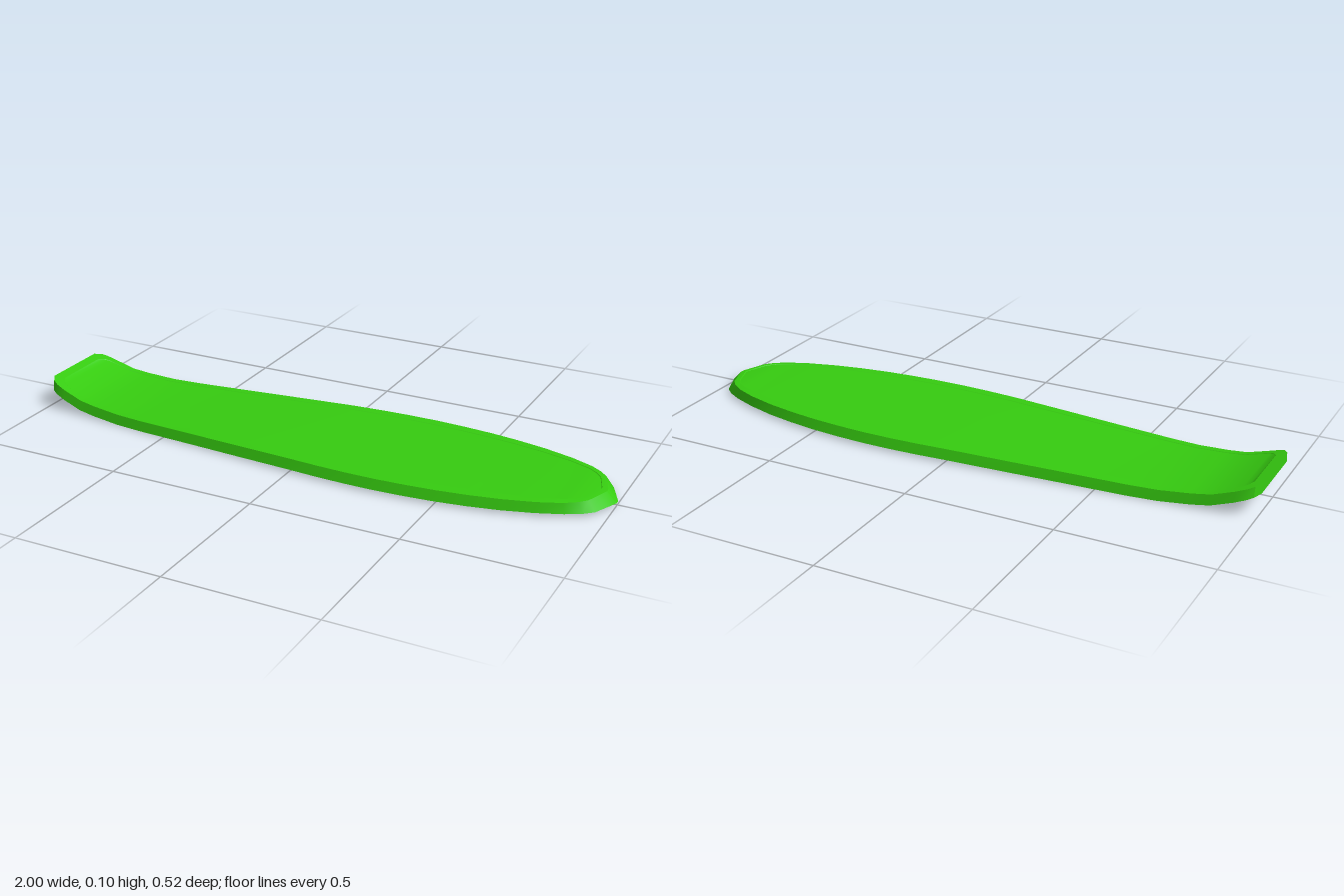
import * as THREE from 'three';
import { toCreasedNormals } from 'three/addons/utils/BufferGeometryUtils.js';

// Half width of the deck along its length: [x, half width]
const OUTLINE = [
  [-1, 0.125], [-0.985, 0.15], [-0.965, 0.161], [-0.93, 0.168], [-0.86, 0.175], [-0.8, 0.181],
  [-0.7, 0.19], [-0.6, 0.199], [-0.4, 0.216], [-0.2, 0.234], [0, 0.251], [0.1, 0.258], [0.2, 0.262],
  [0.3, 0.262], [0.4, 0.257], [0.5, 0.248], [0.6, 0.233], [0.7, 0.212], [0.8, 0.182], [0.88, 0.15],
  [0.93, 0.122], [0.96, 0.095], [0.98, 0.052], [1, 0.008],
];

// Underside height along the length: kicked tail, flat nose
const BOTTOM = [
  [-1, 0.07], [-0.95, 0.05], [-0.9, 0.032], [-0.86, 0.02], [-0.8, 0.012], [-0.7, 0.004],
  [-0.6, 0.003], [-0.2, 0.009], [0, 0.012], [0.4, 0.012], [1, 0.012],
];

function sample(table, x) {
  for (let i = 1; i < table.length; i++) {
    const [x0, y0] = table[i - 1], [x1, y1] = table[i];
    if (x <= x1) return y0 + (y1 - y0) * Math.max(0, (x - x0) / (x1 - x0));
  }
  return table[table.length - 1][1];
}

// Section rules: width factor, height above underside, pull back at nose and at tail
const SECTION = [
  { f: 1, h: 0, nose: 0, tail: 0 },              // lower edge
  { f: 0.955, h: 0.033, nose: 0.033, tail: 0 },  // upper edge
  { f: 0.81, h: 0.036, nose: 0.052, tail: 0.03 }, // rim crest
  { f: 0.8, h: 0.0345, nose: 0.054, tail: 0.032 }, // grip panel edge
];
const RING = [
  ...SECTION.map((s) => ({ ...s, side: 1 })),
  ...[...SECTION].reverse().map((s) => ({ ...s, side: -1 })),
];

function deckGeometry() {
  const pos = [], idx = [], n = RING.length;
  for (const [x, w] of OUTLINE) {
    for (const { f, h, nose, tail, side } of RING) {
      const px = x - nose * Math.max(0, (x - 0.85) / 0.15) + tail * Math.max(0, (-0.9 - x) / 0.1);
      pos.push(px, sample(BOTTOM, px) + h, side * w * f);
    }
  }
  const last = (OUTLINE.length - 1) * n;
  for (let i = 0; i < last; i += n) {
    for (let k = 0; k < n; k++) {
      const a = i + k, b = i + ((k + 1) % n);
      idx.push(a, a + n, b + n, a, b + n, b);
    }
  }
  // End strips, joined across the width
  for (let k = 0; k < n / 2 - 1; k++) {
    const a = k, b = k + 1, c = n - 2 - k, d = n - 1 - k;
    idx.push(a, b, c, a, c, d);
    idx.push(last + a, last + c, last + b, last + a, last + d, last + c);
  }
  const geo = new THREE.BufferGeometry();
  geo.setAttribute('position', new THREE.Float32BufferAttribute(pos, 3));
  geo.setIndex(idx);
  return toCreasedNormals(geo, 0.5);
}

export function createModel() {
  const group = new THREE.Group();
  group.name = 'skateboardDeck';
  const deck = new THREE.Mesh(deckGeometry(), new THREE.MeshStandardMaterial({ color: 0x36cc10 }));
  deck.name = 'deck';
  deck.position.y = -0.003;
  group.add(deck);
  return group;
}
